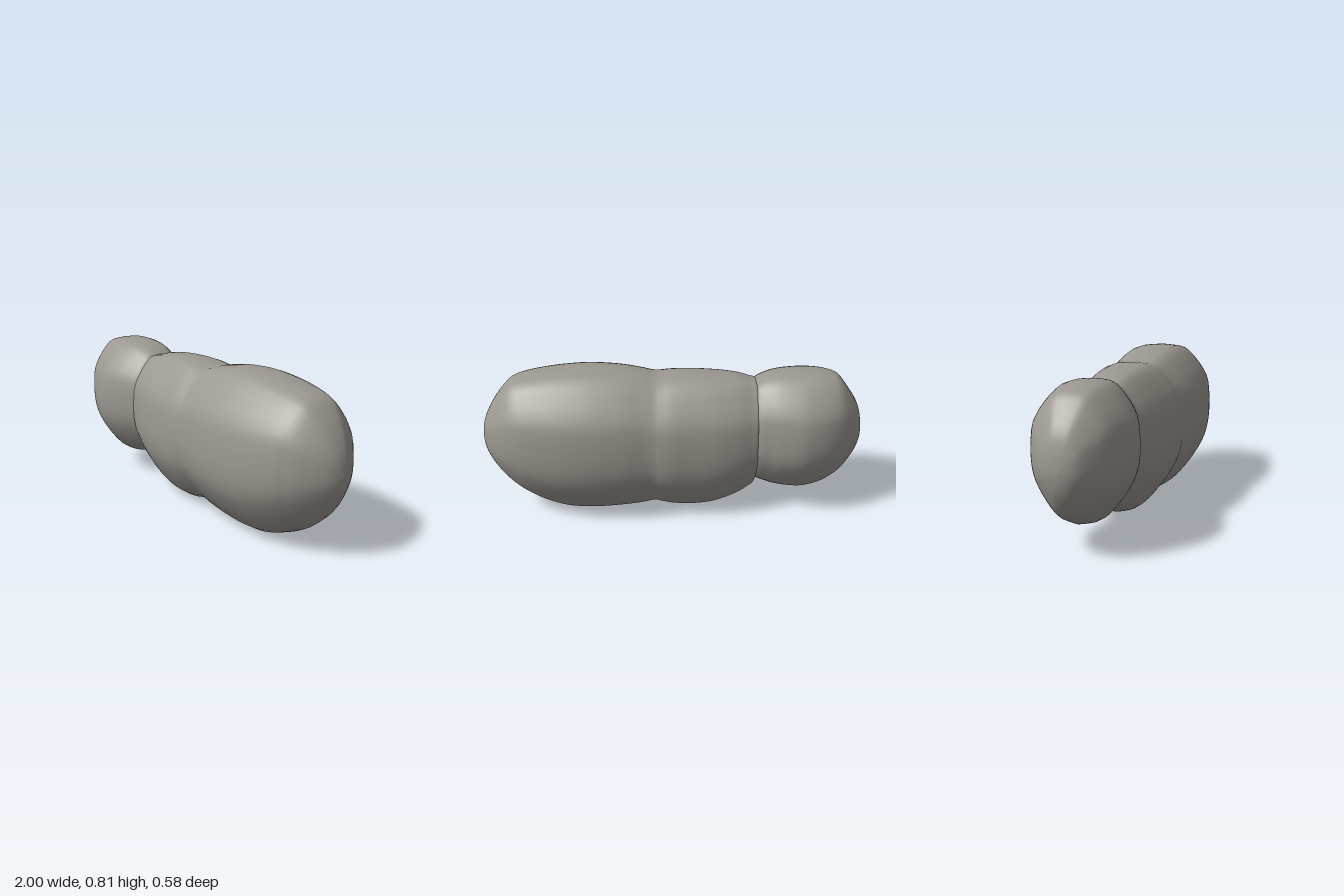
import * as THREE from 'three';

// Half cross-section from belly to back: [half width, height], both relative
const PROFILE = [
  [0, -1], [0.34, -0.935], [0.59, -0.755], [0.82, -0.51], [0.95, -0.29], [1, 0],
  [0.96, 0.4], [0.84, 0.6], [0.7, 0.74], [0.54, 0.87], [0.34, 0.975], [0, 1],
];

// Closed ring of relative (z, y) points, mirrored front to back
function makeRing(steps) {
  const curve = new THREE.SplineCurve(PROFILE.map(([w, h]) => new THREE.Vector2(w, h)));
  const half = curve.getPoints(steps);
  const back = half.slice(1, -1).reverse().map((p) => new THREE.Vector2(-p.x, p.y));
  return [...half, ...back];
}

// Smooth loft along x through stations [x, bottom, top, half width]
function loft(stations, ring, perSpan = 5) {
  const outline = new THREE.CatmullRomCurve3(
    stations.map(([x, b, t]) => new THREE.Vector3(x, b, t)), false, 'catmullrom', 0.5);
  const width = new THREE.CatmullRomCurve3(
    stations.map(([, , , w]) => new THREE.Vector3(w, 0, 0)), false, 'catmullrom', 0.5);
  const rows = (stations.length - 1) * perSpan;
  const n = ring.length;
  const positions = [];
  const index = [];
  for (let i = 0; i <= rows; i++) {
    const o = outline.getPoint(i / rows);
    const w = Math.max(0, width.getPoint(i / rows).x);
    const mid = (o.y + o.z) / 2;
    const halfHeight = Math.max(0, (o.z - o.y) / 2);
    for (const p of ring) positions.push(o.x, mid + p.y * halfHeight, p.x * w);
  }
  for (let i = 0; i < rows; i++) {
    for (let j = 0; j < n; j++) {
      const a = i * n + j;
      const d = i * n + ((j + 1) % n);
      index.push(a, a + n, d, d, a + n, d + n);
    }
  }
  const geometry = new THREE.BufferGeometry();
  geometry.setAttribute('position', new THREE.Float32BufferAttribute(positions, 3));
  geometry.setIndex(index);
  geometry.computeVertexNormals();
  return geometry;
}

// Rounded head, ending inside the neck
const HEAD = [
  [-1, 0.43, 0.43, 0], [-0.99, 0.365, 0.52, 0.055], [-0.965, 0.3, 0.605, 0.1],
  [-0.91, 0.22, 0.69, 0.155], [-0.86, 0.175, 0.748, 0.19], [-0.8, 0.14, 0.77, 0.218],
  [-0.73, 0.118, 0.779, 0.237], [-0.66, 0.112, 0.78, 0.245], [-0.57, 0.122, 0.775, 0.231],
  [-0.5, 0.142, 0.762, 0.208], [-0.43, 0.175, 0.728, 0.18], [-0.38, 0.25, 0.65, 0.12],
  [-0.36, 0.43, 0.43, 0],
];

// Chest with a shallow waist, then the long rear segment
const BODY = [
  [-0.46, 0.43, 0.43, 0], [-0.455, 0.25, 0.65, 0.13], [-0.44, 0.145, 0.722, 0.182],
  [-0.4, 0.1, 0.738, 0.198], [-0.33, 0.058, 0.757, 0.22], [-0.22, 0.018, 0.769, 0.243],
  [-0.1, 0.005, 0.775, 0.254], [0, 0.014, 0.772, 0.264], [0.06, 0.028, 0.766, 0.263],
  [0.1, 0.035, 0.768, 0.259], [0.16, 0.022, 0.782, 0.264], [0.27, 0.01, 0.8, 0.281],
  [0.42, 0.002, 0.81, 0.29], [0.56, 0.012, 0.803, 0.284], [0.68, 0.05, 0.788, 0.265],
  [0.77, 0.098, 0.77, 0.241], [0.83, 0.14, 0.748, 0.212], [0.88, 0.187, 0.7, 0.18],
  [0.93, 0.247, 0.635, 0.133], [0.97, 0.312, 0.562, 0.082], [0.99, 0.362, 0.5, 0.04],
  [1, 0.43, 0.43, 0],
];

export function createModel() {
  const group = new THREE.Group();
  const stone = new THREE.MeshStandardMaterial({ color: 0x9c9891 });
  stone.name = 'warmGrey';
  const ring = makeRing(26);
  for (const [name, stations] of [['head', HEAD], ['body', BODY]]) {
    const mesh = new THREE.Mesh(loft(stations, ring), stone);
    mesh.name = name;
    group.add(mesh);
  }
  return group;
}
